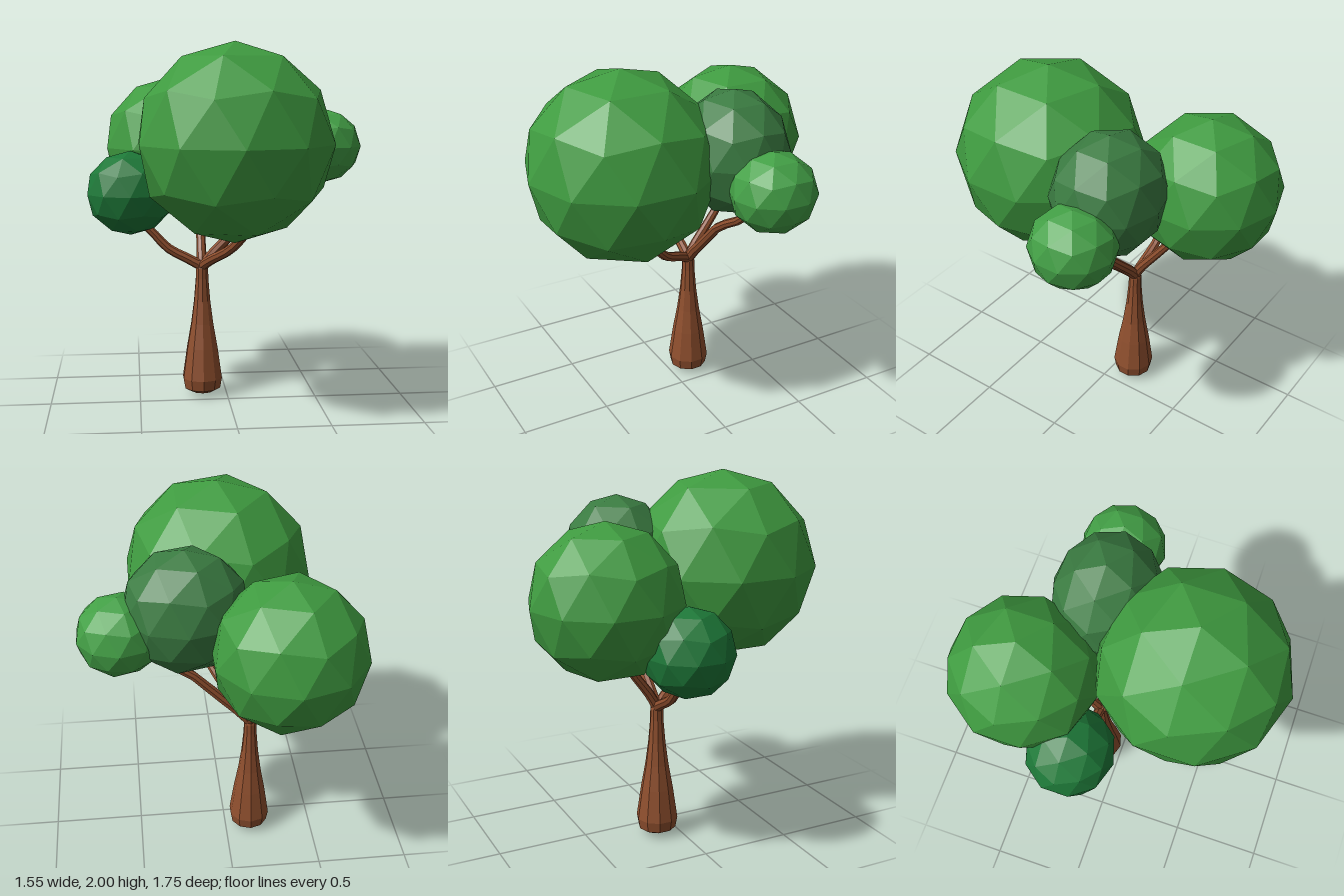
import * as THREE from 'three';

const mat = (color) => new THREE.MeshStandardMaterial({ color, flatShading: true, side: THREE.DoubleSide });
const BARK = mat(0x8f4f2e);

// Faceted ball with a vertex at the top, stretched to the given radii
function foliage(name, color, [x, y, z], [rx, ry, rz], turn = -Math.PI / 10) {
  const geo = new THREE.IcosahedronGeometry(1, 1);
  geo.rotateX(-Math.atan((1 + Math.sqrt(5)) / 2));
  geo.rotateY(turn);
  geo.scale(rx, ry, rz);
  const mesh = new THREE.Mesh(geo, mat(color));
  mesh.name = name;
  mesh.position.set(x, y, z);
  return mesh;
}

// Tube through the points, tapering from r0 to r1, closed at the far end
function branch(name, points, r0, r1) {
  const curve = new THREE.CatmullRomCurve3(points.map((p) => new THREE.Vector3(...p)));
  const segs = 8, sides = 8;
  const geo = new THREE.TubeGeometry(curve, segs, 1, sides, false);
  const pos = geo.attributes.position;
  const v = new THREE.Vector3();
  for (let i = 0; i <= segs; i++) {
    const c = curve.getPointAt(i / segs);
    const r = THREE.MathUtils.lerp(r0, r1, i / segs);
    for (let j = 0; j <= sides; j++) {
      const k = i * (sides + 1) + j;
      v.fromBufferAttribute(pos, k).sub(c).multiplyScalar(r).add(c);
      pos.setXYZ(k, v.x, v.y, v.z);
    }
  }
  geo.computeVertexNormals();
  const group = new THREE.Group();
  group.name = name;
  const tube = new THREE.Mesh(geo, BARK);
  tube.name = name + 'Tube';
  const cap = new THREE.Mesh(new THREE.CircleGeometry(r1, sides), BARK);
  cap.name = name + 'End';
  cap.position.copy(curve.getPointAt(1));
  cap.quaternion.setFromUnitVectors(new THREE.Vector3(0, 0, 1), curve.getTangentAt(1));
  group.add(tube, cap);
  return group;
}

export function createModel() {
  const tree = new THREE.Group();
  tree.name = 'tree';
  const tx = -0.14, tz = -0.118;

  // Trunk with a swollen foot
  const profile = [[0, 0], [0.065, 0.018], [0.105, 0.04], [0.116, 0.1], [0.09, 0.28], [0.065, 0.42],
    [0.048, 0.55], [0.037, 0.68], [0.036, 0.74], [0.025, 0.785], [0, 0.79]];
  const trunk = new THREE.Mesh(
    new THREE.LatheGeometry(profile.map(([r, y]) => new THREE.Vector2(r, y)), 10), BARK);
  trunk.name = 'trunk';
  trunk.position.set(tx, 0, tz);
  tree.add(trunk);

  // Four branches fanning out from the top of the trunk
  tree.add(
    branch('rightBranch', [[tx, 0.75, tz], [-0.21, 0.79, -0.12], [-0.33, 0.855, -0.125], [-0.42, 0.95, -0.13], [-0.48, 1.01, -0.13]], 0.03, 0.023),
    branch('frontBranch', [[tx, 0.75, tz], [-0.1, 0.795, -0.05], [0.0, 0.88, 0.1], [0.06, 0.96, 0.18], [0.1, 1.03, 0.24]], 0.03, 0.023),
    branch('backBranch', [[tx, 0.75, tz], [-0.14, 0.82, -0.155], [-0.14, 0.95, -0.25], [-0.145, 1.08, -0.345]], 0.029, 0.023),
    branch('longBranch', [[tx, 0.75, tz], [-0.08, 0.82, -0.12], [0.06, 0.96, -0.12], [0.2, 1.1, -0.12], [0.38, 1.21, -0.13], [0.54, 1.35, -0.16]], 0.031, 0.021),
  );

  // Leaf balls
  tree.add(
    foliage('frontFoliage', 0x3f9b40, [0, 1.48, 0.355], [0.52, 0.52, 0.52]),
    foliage('backFoliage', 0x3f9b40, [-0.285, 1.41, -0.468], [0.405, 0.41, 0.405]),
    foliage('middleFoliage', 0x3a7b41, [0.215, 1.53, -0.185], [0.335, 0.34, 0.295]),
    foliage('leftFoliage', 0x43a046, [0.56, 1.425, -0.215], [0.225, 0.215, 0.23]),
    foliage('rightFoliage', 0x1d7838, [-0.54, 1.172, -0.135], [0.25, 0.237, 0.24]),
  );
  return tree;
}
